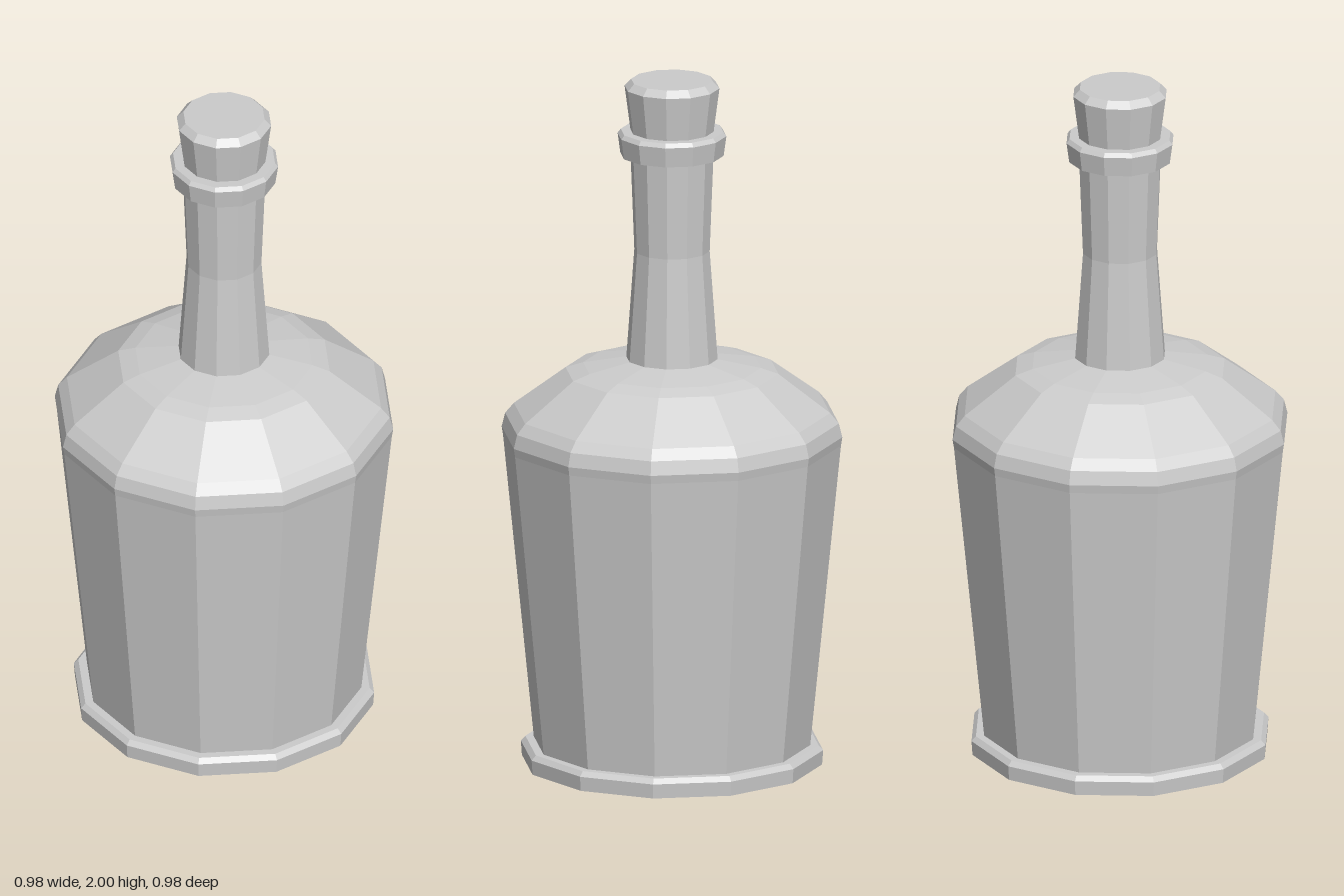
import * as THREE from 'three';

const SIDES = 12;
const material = new THREE.MeshStandardMaterial({
  color: 0xcccccc, flatShading: true, side: THREE.DoubleSide,
});

// Turned part from [radius, height] pairs listed bottom to top
function turned(name, profile) {
  const points = profile.map(([r, y]) => new THREE.Vector2(r, y));
  const mesh = new THREE.Mesh(new THREE.LatheGeometry(points, SIDES), material);
  mesh.name = name;
  return mesh;
}

export function createModel() {
  const bottle = new THREE.Group();
  bottle.name = 'bottle';
  bottle.add(
    // Foot band, open underneath
    turned('footRim', [[0.43, 0], [0.433, 0.042], [0.42, 0.056], [0.396, 0.056]]),
    // Tapered body with a rounded shoulder
    turned('body', [
      [0.396, 0.056], [0.484, 0.94], [0.488, 0.965], [0.478, 1.005],
      [0.453, 1.035], [0.305, 1.145], [0.255, 1.161], [0.13, 1.183],
    ]),
    // Waisted neck
    turned('neck', [[0.131, 1.18], [0.108, 1.5], [0.119, 1.785]]),
    // Lip collar around the mouth
    turned('collar', [
      [0.117, 1.782], [0.148, 1.782], [0.156, 1.84], [0.147, 1.852], [0.115, 1.852],
    ]),
    // Stopper with chamfered top
    turned('stopper', [[0.119, 1.85], [0.136, 1.98], [0.117, 2], [0, 2]]),
  );
  return bottle;
}
